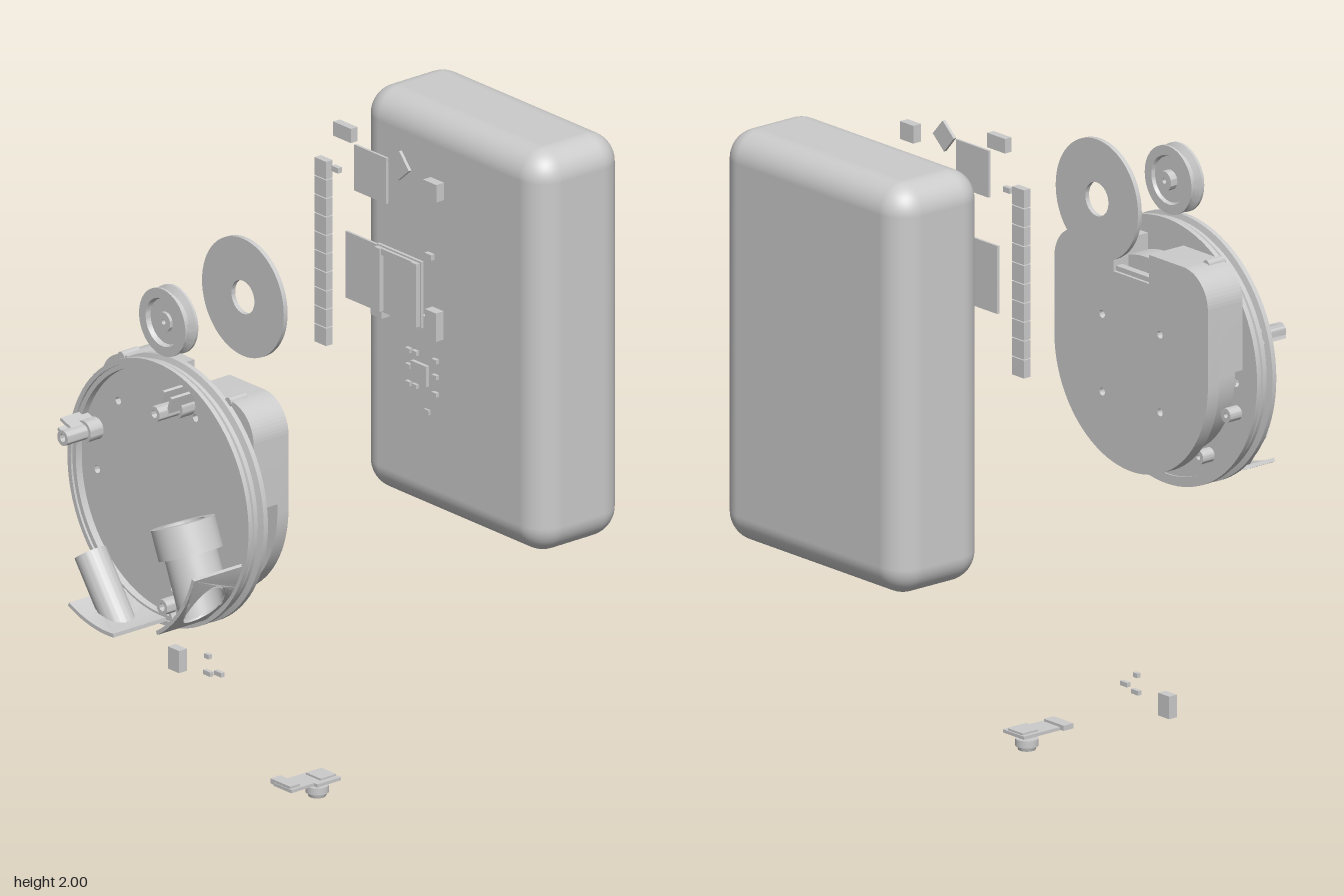
import * as THREE from 'three';
import { toCreasedNormals } from 'three/addons/utils/BufferGeometryUtils.js';
import { RoundedBoxGeometry } from 'three/addons/geometries/RoundedBoxGeometry.js';

const material = new THREE.MeshStandardMaterial({ color: 0xcccccc, side: THREE.DoubleSide });
const CX = 0.1, CY = 1.115; // centre of the round base

export function createModel() {
  const root = new THREE.Group();
  const add = (name, geometry, x = 0, y = 0, z = 0) => {
    const mesh = new THREE.Mesh(geometry, material);
    mesh.name = name;
    mesh.position.set(x, y, z);
    root.add(mesh);
    return mesh;
  };
  // box given by its limits on each axis
  const block = (name, x0, x1, y0, y1, z0, z1) => add(name,
    new THREE.BoxGeometry(x1 - x0, y1 - y0, z1 - z0), (x0 + x1) / 2, (y0 + y1) / 2, (z0 + z1) / 2);
  // closed (radius, z) profile turned about the z axis
  const turned = (name, profile, x, y, segments = 64) => {
    const pts = [...profile, profile[0]].map(([r, z]) => new THREE.Vector2(r, z));
    const g = new THREE.LatheGeometry(pts, segments).rotateX(Math.PI / 2);
    return add(name, toCreasedNormals(g, 0.6), x, y);
  };
  const ring = (name, ri, ro, z0, z1, x, y, segments) =>
    turned(name, [[ri, z0], [ro, z0], [ro, z1], [ri, z1]], x, y, segments);
  const hole = (shape, x, y, r) => shape.holes.push(new THREE.Path().absarc(x, y, r, 0, Math.PI * 2, true));
  const slab = (name, shape, z0, z1) => add(name, toCreasedNormals(new THREE.ExtrudeGeometry(shape,
    { depth: z1 - z0, bevelEnabled: false, curveSegments: 32 }), 0.6), CX, CY, z0);

  // rear shell
  add('rearShell', new RoundedBoxGeometry(0.82, 1.27, 0.34, 8, 0.09), CX, 1.365, -0.66);

  // round base: floor with screw holes, grooved rim
  const floor = new THREE.Shape().absarc(0, 0, 0.385, 0, Math.PI * 2);
  for (const [x, y] of [[-0.115, 1.335], [-0.21, 1.09], [0.235, 1.385], [0.135, 0.815]])
    hole(floor, x - CX, y - CY, 0.012);
  slab('baseFloor', floor, 0.565, 0.605);
  turned('baseRim', [[0.38, 0.56], [0.41, 0.56], [0.41, 0.576], [0.39, 0.582], [0.39, 0.588], [0.4, 0.592],
    [0.4, 0.604], [0.39, 0.608], [0.39, 0.615], [0.41, 0.62], [0.41, 0.635], [0.395, 0.635], [0.395, 0.628],
    [0.38, 0.628]], CX, CY, 96);

  // housing behind the base: flat notched top, round bottom
  const W = 0.345, C = 0.11, N = 0.08, D = 0.09;
  const topEdge = (s) => s.lineTo(W, W - C).absarc(W - C, W - C, C, 0, Math.PI / 2)
    .lineTo(N, W).lineTo(N, W - D).lineTo(-N, W - D).lineTo(-N, W)
    .lineTo(C - W, W).absarc(C - W, W - C, C, Math.PI / 2, Math.PI);
  const plate = new THREE.Shape();
  plate.absarc(0, 0, W, Math.PI, Math.PI * 2);
  topEdge(plate);
  for (const sx of [-1, 1]) for (const sy of [-1, 1]) hole(plate, sx * 0.13, sy * 0.12 - 0.01, 0.012);
  slab('housingPlate', plate, 0.425, 0.468);
  const upper = new THREE.Shape().moveTo(-W, 0.025).lineTo(W, 0.025);
  topEdge(upper);
  slab('housingUpper', upper, 0.468, 0.56);
  block('housingCore', -0.08, 0.28, 1.0, 1.15, 0.46, 0.57);
  block('notchBar', 0.02, 0.18, 1.37, 1.385, 0.435, 0.46);
  ring('housingLower', 0.001, 0.305, 0.485, 0.57, CX, CY);

  // small bosses around the housing
  for (const [x, y] of [[-0.15, 1.455], [0.335, 1.455]]) ring('topBoss', 0.001, 0.014, 0.5, 0.565, x, y, 20);
  for (const a of [200, 235, 270, 305, 340]) {
    const t = a * Math.PI / 180;
    ring('rimBoss', 0.008, 0.022, 0.52, 0.565, CX + 0.335 * Math.cos(t), CY + 0.335 * Math.sin(t), 20);
  }

  // screw posts with gussets reaching to the rim
  for (const [x, y] of [[-0.215, 1.22], [0.2, 1.42], [0.235, 0.82]]) {
    ring('screwPost', 0.012, 0.024, 0.6, 0.735, x, y, 32);
    ring('screwPostFoot', 0.012, 0.034, 0.6, 0.655, x, y, 32);
    const a = Math.atan2(y - CY, x - CX);
    for (const s of [-1, 1]) {
      const rib = add('postGusset', new THREE.BoxGeometry(0.055, 0.01, 0.1),
        x + 0.033 * Math.cos(a) - s * 0.018 * Math.sin(a), y + 0.033 * Math.sin(a) + s * 0.018 * Math.cos(a), 0.65);
      rib.rotation.z = a;
    }
  }

  // hollow tube from (x, y) along d; rings are [radius, distance], null distance = trimmed to the rim curve
  const R = 0.395;
  const port = (name, x, y, z, angle, rings) => {
    const d = new THREE.Vector2(Math.cos(angle), Math.sin(angle)), n = 48, pos = [], index = [];
    rings.forEach(([r, dist], i) => {
      for (let j = 0; j <= n; j++) {
        const a = j / n * Math.PI * 2, u = r * Math.cos(a);
        const px = x - d.y * u, py = y + d.x * u, ox = px - CX, oy = py - CY;
        const b = ox * d.x + oy * d.y;
        const t = dist ?? -b + Math.sqrt(Math.max(0, b * b - ox * ox - oy * oy + R * R));
        pos.push(px + t * d.x, py + t * d.y, z + r * Math.sin(a));
        if (i && j < n) {
          const q = i * (n + 1) + j, p = q - n - 1;
          index.push(p, p + 1, q, p + 1, q + 1, q);
        }
      }
    });
    const g = new THREE.BufferGeometry();
    g.setAttribute('position', new THREE.Float32BufferAttribute(pos, 3));
    g.setIndex(index);
    add(name, toCreasedNormals(g, 0.6));
  };
  // curved flange on the rim with an oval opening
  const flange = (name, angle, half, z0, z1, zc, hs, hz) => {
    const pts = [], n = 16;
    for (let i = 0; i <= n; i++) pts.push(new THREE.Vector2(-half + 2 * half * i / n, z0));
    for (let i = 0; i <= n; i++) pts.push(new THREE.Vector2(half - 2 * half * i / n, z1));
    const s = new THREE.Shape(pts);
    s.holes.push(new THREE.Path().absellipse(0, zc, hs, hz, 0, Math.PI * 2, true));
    const g = new THREE.ExtrudeGeometry(s, { depth: 0.012, bevelEnabled: false, curveSegments: 24 });
    const p = g.attributes.position;
    for (let i = 0; i < p.count; i++) {
      const a = angle + p.getX(i) / R, r = R - 0.008 + p.getZ(i);
      p.setXYZ(i, CX + r * Math.cos(a), CY + r * Math.sin(a), p.getY(i));
    }
    add(name, toCreasedNormals(g, 0.5));
  };
  port('smallPort', -0.095, 0.894, 0.73, Math.atan2(-0.81, 0.58),
    [[0.04, null], [0.04, 0], [0.05, 0], [0.05, null]]);
  flange('smallPortFlange', Math.atan2(-0.387, -0.076), 0.105, 0.62, 0.832, 0.73, 0.05, 0.042);
  port('largePort', 0.317, 1.11, 0.724, Math.atan2(-0.925, 0.38),
    [[0.066, null], [0.066, 0], [0.098, 0], [0.098, 0.095], [0.08, 0.095], [0.08, null]]);
  flange('largePortFlange', Math.atan2(-0.24, 0.313), 0.14, 0.62, 0.82, 0.724, 0.09, 0.066);

  // pulley and washer
  turned('pulley', [[0.008, 0.545], [0.03, 0.545], [0.03, 0.57], [0.07, 0.57], [0.075, 0.56], [0.105, 0.56],
    [0.105, 0.568], [0.085, 0.58], [0.085, 0.59], [0.105, 0.602], [0.105, 0.61], [0.075, 0.61], [0.07, 0.595],
    [0.03, 0.595], [0.03, 0.605], [0.008, 0.605]], 0.09, 1.645);
  ring('washer', 0.052, 0.185, 0.283, 0.298, 0.09, 1.645);

  // connector strip
  const step = 0.585 / 10;
  for (let i = 0; i < 10; i++)
    block('connectorStrip', -0.21, -0.157, 1.28 + i * step, 1.277 + (i + 1) * step, -0.26, -0.235);

  // circuit parts: x0, x1, y0, y1, z0, z1
  for (const p of [
    [-0.125, -0.045, 1.955, 2, -0.26, -0.235], [-0.145, -0.115, 1.835, 1.852, -0.26, -0.245],
    [0.285, 0.345, 1.885, 1.94, -0.262, -0.232], [0.275, 0.305, 1.685, 1.703, -0.26, -0.245],
    [0.275, 0.298, 1.195, 1.21, -0.25, -0.243],
    [-0.055, -0.005, 1.39, 1.48, -0.35, -0.32], [0.19, 0.24, 1.39, 1.48, -0.35, -0.32],
    [0.015, 0.04, 1.425, 1.445, -0.35, -0.338], [0.06, 0.1, 1.425, 1.445, -0.35, -0.338],
    [0.115, 0.135, 1.425, 1.445, -0.35, -0.338], [0.15, 0.175, 1.425, 1.445, -0.35, -0.338],
  ]) block('circuitPart', ...p);
  block('squareChip', -0.05, 0.095, 1.8, 1.945, -0.26, -0.252);
  block('tallChip', -0.09, 0.06, 1.45, 1.66, -0.26, -0.252);
  add('tiltedChip', new THREE.BoxGeometry(0.067, 0.067, 0.01), 0.155, 1.94, -0.253).rotation.z = 0.72;
  block('moduleBoard', 0.055, 0.255, 1.455, 1.665, -0.26, -0.25);
  for (const x of [0.06, 0.225]) block('moduleRail', x, x + 0.025, 1.46, 1.66, -0.25, -0.235);
  block('moduleTop', 0.085, 0.225, 1.64, 1.66, -0.25, -0.24);
  block('controlChip', 0.215, 0.285, 1.28, 1.345, -0.255, -0.243);
  for (const y of [1.26, 1.315, 1.365]) for (const x of [0.19, 0.22, 0.31])
    block('tinyPart', x, x + 0.02, y, y + 0.014, -0.255, -0.243);

  // loose small parts and the lower board
  block('looseConnector', -0.51, -0.46, 0.235, 0.305, 0.045, 0.075);
  for (const [x, y, w] of [[-0.337, 0.325, 0.02], [-0.335, 0.272, 0.032], [-0.285, 0.285, 0.032]])
    block('looseChip', x - w / 2, x + w / 2, y - 0.007, y + 0.007, 0.062, 0.075);
  block('lowerBoardWide', 0.05, 0.145, 0.05, 0.06, -0.035, 0.057);
  block('lowerBoardNarrow', 0.05, 0.13, 0.05, 0.06, 0.057, 0.145);
  block('lowerBoardPad', 0.062, 0.128, 0.06, 0.066, -0.03, 0.03);
  block('lowerBoardSocket', 0.033, 0.122, 0.052, 0.068, 0.105, 0.143);
  add('lensBody', new THREE.CylinderGeometry(0.035, 0.035, 0.022, 32), 0.095, 0.024, 0.015);
  add('lensFoot', new THREE.CylinderGeometry(0.03, 0.026, 0.013, 32), 0.095, 0.0065, 0.015);
  return root;
}
